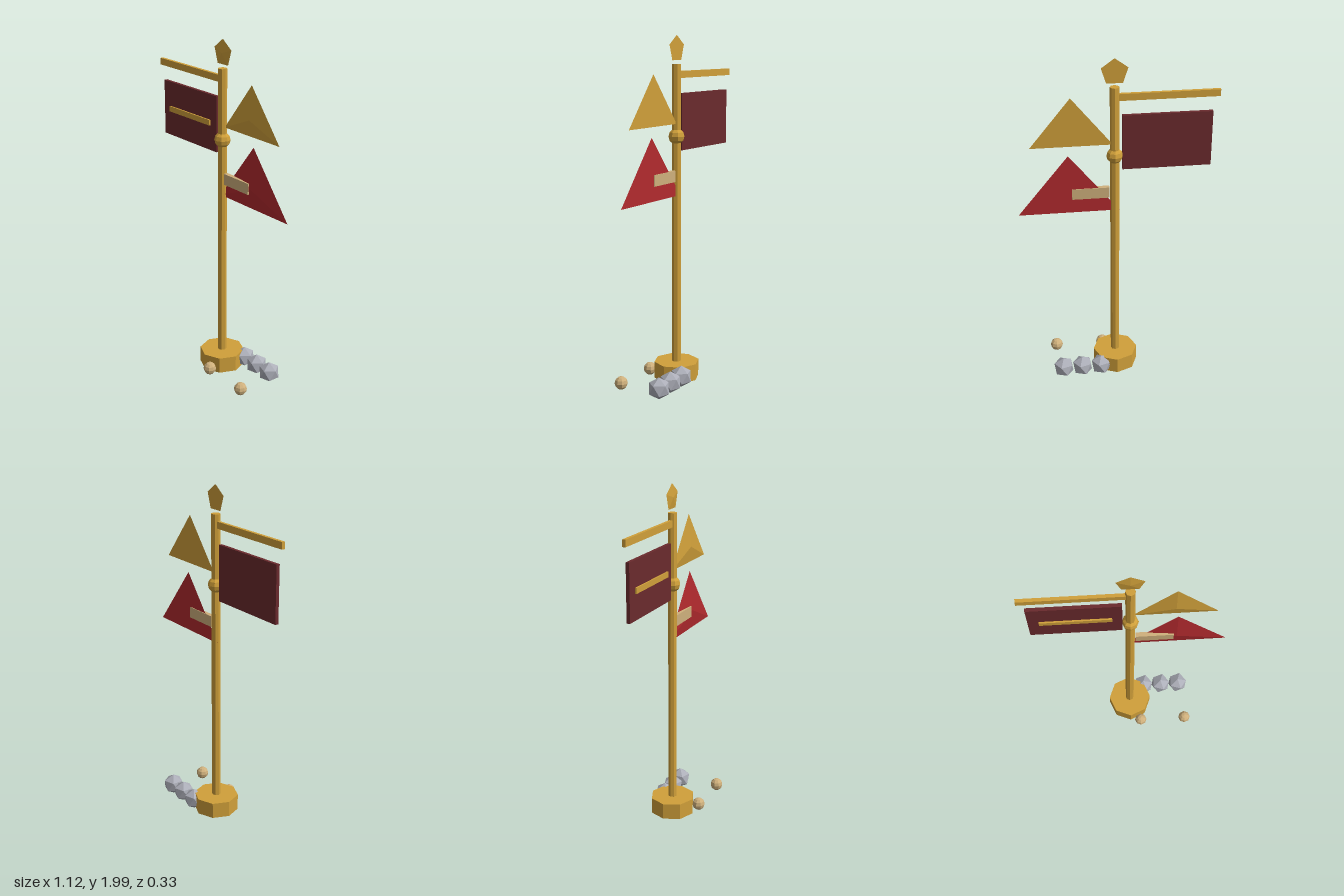
import * as THREE from 'three';

const makeMaterial = (name, color) => {
  const m = new THREE.MeshStandardMaterial({ color, flatShading: true });
  m.name = name;
  return m;
};

export function createModel() {
  const gold = makeMaterial('gold', 0xd0a03a);
  const maroon = makeMaterial('maroon', 0x6a2a2d);
  const red = makeMaterial('red', 0xb22a2e);
  const tan = makeMaterial('tan', 0xcfb07c);
  const grey = makeMaterial('grey', 0xacaeb8);

  const model = new THREE.Group();
  model.name = 'bannerPole';
  const axisX = 0.01, axisZ = -0.018;

  const add = (name, geometry, material, x, y, z) => {
    const mesh = new THREE.Mesh(geometry, material);
    mesh.name = name;
    mesh.position.set(x, y, z);
    model.add(mesh);
    return mesh;
  };

  // Box given by its limits on each axis
  const slab = (name, material, [x0, x1], [y0, y1], [z0, z1]) =>
    add(name, new THREE.BoxGeometry(x1 - x0, y1 - y0, z1 - z0), material,
      (x0 + x1) / 2, (y0 + y1) / 2, (z0 + z1) / 2);

  // Thin plate with a flat back and a shallow point in front, one corner up
  const facetPlate = (name, material, sides, rx, ry, depth, x, y, zBack) => {
    const g = new THREE.ConeGeometry(1, 1, sides, 1, false, Math.PI);
    g.rotateX(Math.PI / 2);
    g.scale(rx, ry, depth);
    add(name, g, material, x, y, zBack + depth / 2);
  };

  // Base, pole, collar and finial
  add('base', new THREE.CylinderGeometry(0.132, 0.132, 0.096, 8), gold, axisX, 0.071, axisZ);
  add('pole', new THREE.CylinderGeometry(0.026, 0.026, 1.73, 8), gold, axisX, 0.975, axisZ);
  add('collar', new THREE.SphereGeometry(0.046, 8, 6), gold, axisX, 1.438, axisZ);
  facetPlate('finial', gold, 5, 0.0765, 0.0765, 0.01, axisX, 1.923, -0.02);

  // Hanging banner with its arm and stripe
  slab('bannerArm', gold, [-0.563, 0.0], [1.762, 1.801], [-0.027, -0.008]);
  slab('banner', maroon, [-0.527, -0.032], [1.355, 1.677], [-0.028, -0.008]);
  slab('bannerStripe', gold, [-0.468, -0.085], [1.5, 1.532], [-0.008, 0.001]);

  // Pennants and the label through the lower one
  facetPlate('upperPennant', gold, 3, 0.263, 0.188, 0.016, 0.248, 1.603, -0.026);
  facetPlate('lowerPennant', red, 3, 0.3285, 0.235, 0.018, 0.268, 1.218, -0.027);
  slab('pennantLabel', tan, [0.04, 0.25], [1.183, 1.247], [-0.031, -0.005]);

  // Row of stones behind, each standing on a corner
  const stone = new THREE.IcosahedronGeometry(0.064, 0);
  stone.rotateZ(-Math.atan(2 / (1 + Math.sqrt(5))));
  [0.107, 0.221, 0.335].forEach((x, i) => add('stone' + (i + 1), stone, grey, x, 0.07, -0.114));

  // Pair of beads in front
  const bead = new THREE.SphereGeometry(0.038, 8, 6);
  [0.075, 0.362].forEach((x, i) => add('bead' + (i + 1), bead, tan, x, 0.061, 0.126));

  return model;
}
